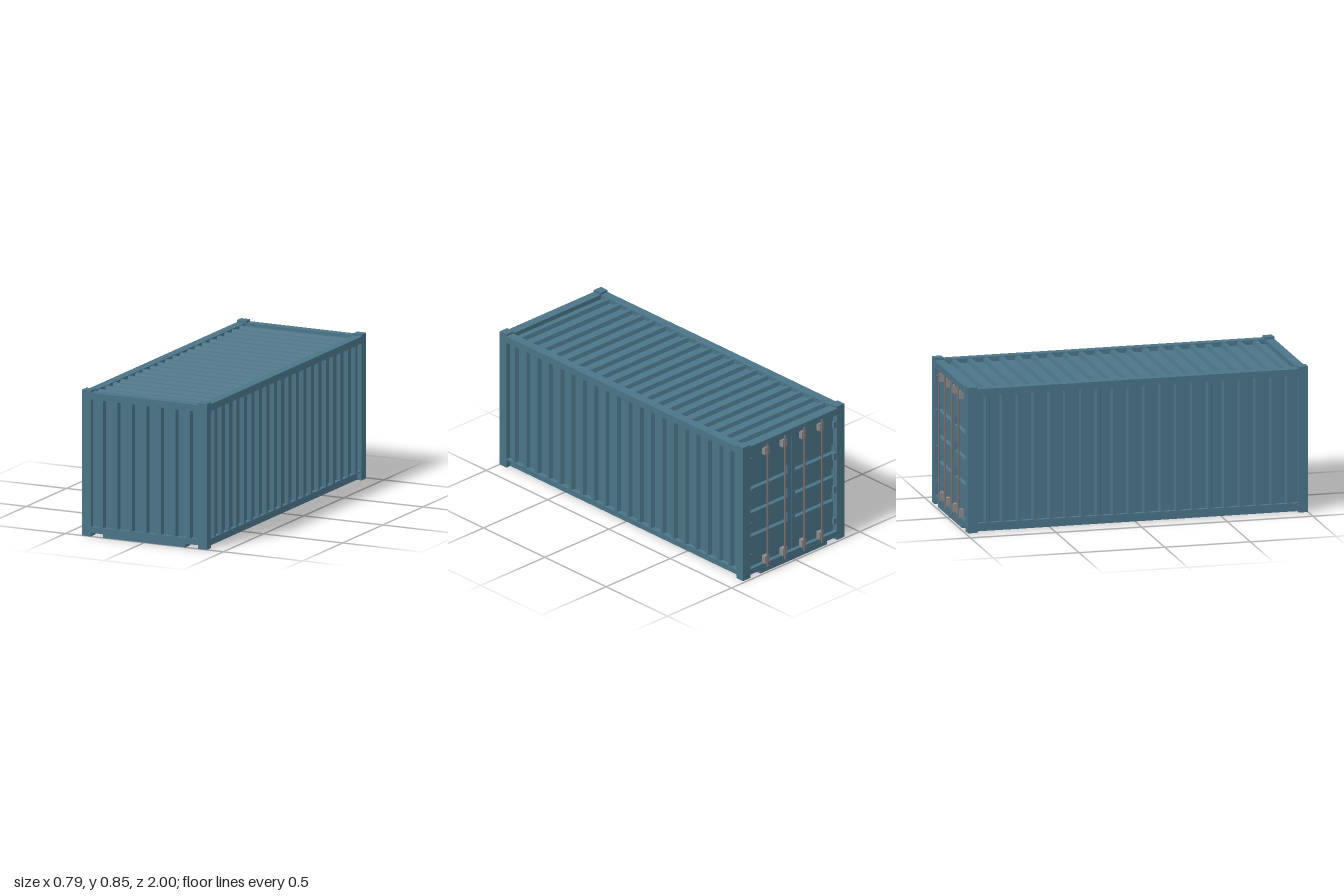
import * as THREE from 'three';

export function createModel() {
  const root = new THREE.Group();
  root.name = 'shippingContainer';
  const paint = new THREE.MeshStandardMaterial({ color: 0x4b7488, flatShading: true });
  const steel = new THREE.MeshStandardMaterial({ color: 0x8c8c8c, flatShading: true });
  const rodMat = new THREE.MeshStandardMaterial({ color: 0x7d6f6d });

  const add = (name, geo, mat = paint) => {
    const m = new THREE.Mesh(geo, mat);
    m.name = name;
    root.add(m);
    return m;
  };
  // box given by its limits on each axis
  const box = (name, x0, x1, y0, y1, z0, z1, mat) =>
    add(name, new THREE.BoxGeometry(x1 - x0, y1 - y0, z1 - z0), mat)
      .position.set((x0 + x1) / 2, (y0 + y1) / 2, (z0 + z1) / 2);
  // box repeated on both sides of x = 0
  const pair = (name, x0, x1, ...rest) => {
    box(name, x0, x1, ...rest);
    box(name, -x1, -x0, ...rest);
  };

  // corrugated sheet: u runs across the ridges, d points outward, extruded along u x d
  const V = (x, y, z) => new THREE.Vector3(x, y, z);
  const sheet = (name, len, count, step, base, top, depth, extent, origin, u, d) => {
    const s = new THREE.Shape();
    s.moveTo(-len / 2, -0.022);
    s.lineTo(-len / 2, 0);
    for (let i = 0; i < count; i++) {
      const c = (i - (count - 1) / 2) * step;
      s.lineTo(c - base / 2, 0);
      s.lineTo(c - top / 2, depth);
      s.lineTo(c + top / 2, depth);
      s.lineTo(c + base / 2, 0);
    }
    s.lineTo(len / 2, 0);
    s.lineTo(len / 2, -0.022);
    const g = new THREE.ExtrudeGeometry(s, { depth: extent, bevelEnabled: false });
    const e = new THREE.Vector3().crossVectors(u, d);
    g.applyMatrix4(new THREE.Matrix4().makeBasis(u, d, e).setPosition(origin));
    add(name, g);
  };

  // corner posts with castings
  for (const [z0, z1] of [[0.945, 1], [-0.985, -0.93]])
    pair('cornerPost', 0.338, 0.395, 0, 0.845, z0, z1);

  // long rails
  pair('topSideRail', 0.342, 0.395, 0.793, 0.833, -0.93, 0.945);
  pair('bottomSideRail', 0.342, 0.367, 0.002, 0.05, -0.93, 0.945);
  pair('bottomRailFlange', 0.342, 0.395, 0.049, 0.055, -0.93, 0.945);

  // end headers and sills, with notches beside the lower corners
  for (const [z0, z1] of [[0.945, 1], [-0.985, -0.93]]) {
    box('endHeader', -0.338, 0.338, 0.793, 0.833, z0, z1);
    box('endSill', -0.338, 0.338, 0.021, 0.055, z0, z1);
    box('endSillFoot', -0.26, 0.26, 0, 0.021, z0, z1);
  }
  box('floor', -0.342, 0.342, 0.043, 0.053, -0.93, 0.945);

  // corrugated walls and roof
  const ridge = [0.036, 0.022, 0.024];
  sheet('leftWall', 1.87, 20, 0.0926, ...ridge, 0.738, V(0.368, 0.055, 0.01), V(0, 0, 1), V(1, 0, 0));
  sheet('rightWall', 1.87, 20, 0.0926, ...ridge, 0.738, V(-0.368, 0.055, 0.01), V(0, 0, -1), V(-1, 0, 0));
  sheet('frontWall', 0.676, 7, 0.0917, ...ridge, 0.738, V(0, 0.055, 0.973), V(-1, 0, 0), V(0, 0, 1));
  sheet('roof', 1.87, 20, 0.0926, ...ridge, 0.684, V(0.342, 0.806, 0.01), V(0, 0, 1), V(0, 1, 0));

  // doors: leaves with three horizontal grooves, stiles and hinges
  box('doorBacking', -0.338, 0.338, 0.055, 0.793, -0.942, -0.932);
  for (const right of [0.326, -0.03])
    sheet('doorLeaf', 0.73, 3, 0.15, 0.056, 0.042, -0.018, 0.296,
      V(right, 0.424, -0.966), V(0, 1, 0), V(0, 0, -1));
  pair('doorStile', 0.003, 0.03, 0.059, 0.789, -0.966, -0.94);
  for (const y of [0.12, 0.32, 0.53, 0.73])
    pair('hinge', 0.318, 0.345, y - 0.02, y + 0.02, -0.98, -0.94);

  // locking rods and their brackets
  for (const x of [0.075, 0.212]) {
    for (const side of [-1, 1])
      add('lockRod', new THREE.CylinderGeometry(0.006, 0.006, 0.78, 10), rodMat)
        .position.set(side * x, 0.42, -0.993);
    for (const y of [0.075, 0.765])
      pair('rodBracket', x - 0.016, x + 0.016, y - 0.024, y + 0.024, -0.991, -0.96, steel);
  }
  return root;
}
